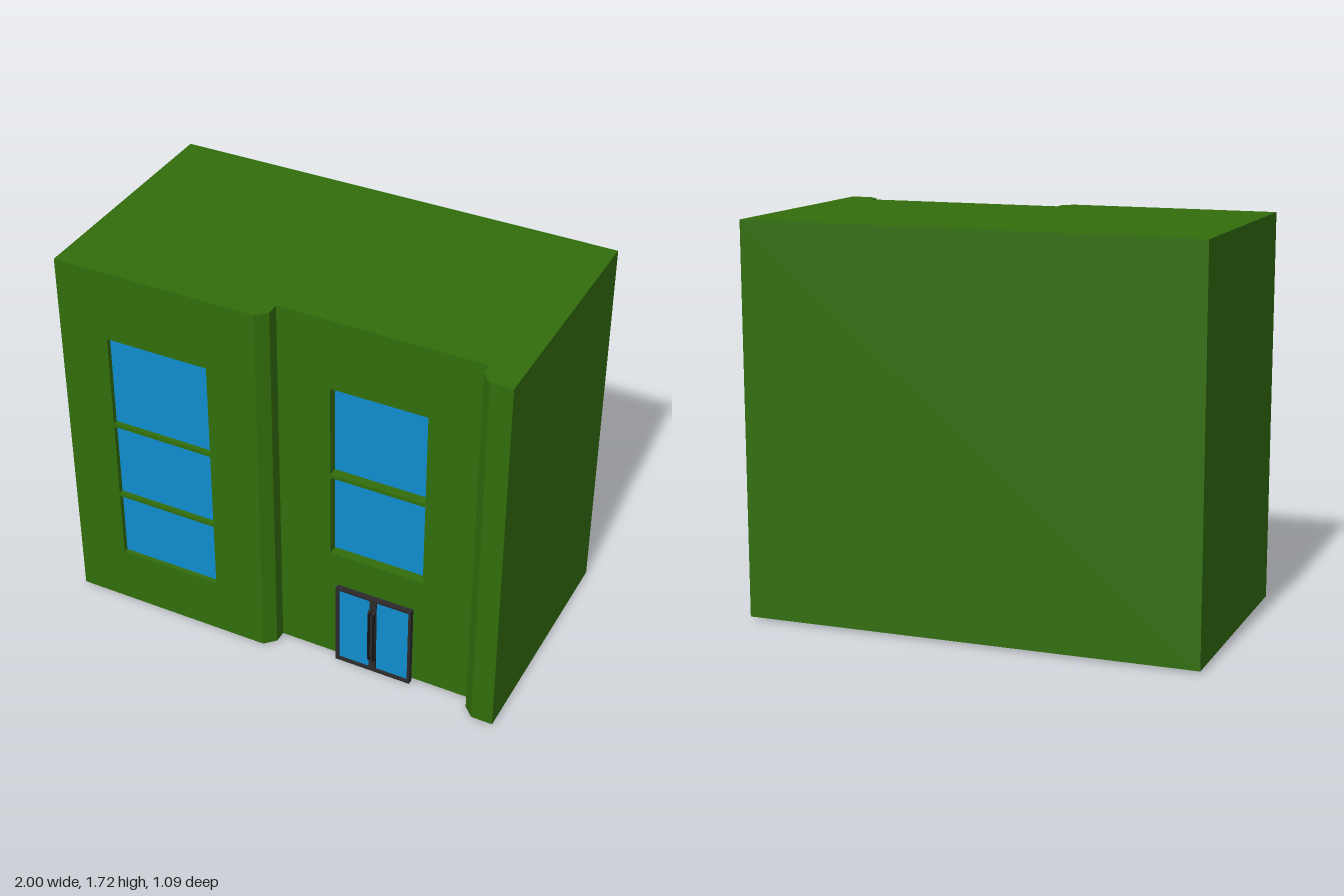
import * as THREE from 'three';

const mat = (color) => new THREE.MeshStandardMaterial({ color });
const BASE = 0.01, TOP = 1.72;

function polygon(points) {
  return new THREE.Shape(points.map(([x, y]) => new THREE.Vector2(x, y)));
}

function rectPath(x0, x1, y0, y1, Type = THREE.Path) {
  return new Type([[x0, y0], [x1, y0], [x1, y1], [x0, y1]].map(([x, y]) => new THREE.Vector2(x, y)));
}

// Flat panel in the front plane with rectangular openings [x0, x1, y0, y1]
function panelGeometry([x0, x1, y0, y1], holes, zBack, zFront) {
  const shape = rectPath(x0, x1, y0, y1, THREE.Shape);
  holes.forEach((h) => shape.holes.push(rectPath(...h)));
  return new THREE.ExtrudeGeometry(shape, { depth: zFront - zBack, bevelEnabled: false }).translate(0, 0, zBack);
}

export function createModel() {
  const model = new THREE.Group();
  const green = mat(0x326e0c), blue = mat(0x0f8ccf), dark = mat(0x2c2a2c), black = mat(0x141414);

  const add = (name, geometry, material, parent = model) => {
    const mesh = new THREE.Mesh(geometry, material);
    mesh.name = name;
    parent.add(mesh);
    return mesh;
  };
  const addPane = (name, [x0, x1, y0, y1], z, parent) =>
    add(name, new THREE.PlaneGeometry(x1 - x0, y1 - y0).translate((x0 + x1) / 2, (y0 + y1) / 2, z), blue, parent);

  // Main block: footprint with chamfered piers either side of the entrance bay
  const footprint = polygon([
    [-1, -0.515], [-0.085, -0.515], [-0.085, -0.54], [-0.04, -0.495], [-0.04, -0.395],
    [0.86, -0.395], [0.86, -0.495], [0.905, -0.54], [1, -0.54], [1, 0.545], [-1, 0.545],
  ]);
  const block = new THREE.ExtrudeGeometry(footprint, { depth: TOP - BASE, bevelEnabled: false });
  add('buildingBlock', block.rotateX(-Math.PI / 2).translate(0, BASE, 0), green);

  // Facade walls with window openings, and the recessed panes behind them
  const facades = [
    { name: 'plainBay', x: [-1, -0.085], z: [0.515, 0.54], win: [-0.775, -0.31],
      rows: [[0.27, 0.585], [0.6, 0.957], [0.973, 1.4]] },
    { name: 'entranceBay', x: [-0.04, 0.86], z: [0.395, 0.44], win: [0.195, 0.62],
      rows: [[0.56, 0.957], [0.973, 1.4]] },
  ];
  for (const { name, x, z, win, rows } of facades) {
    const bay = new THREE.Group();
    bay.name = name;
    model.add(bay);
    const holes = rows.map((r) => [...win, ...r]);
    add('facadeWall', panelGeometry([...x, BASE, TOP], holes, ...z), green, bay);
    holes.forEach((h) => addPane('windowPane', h, z[0] + 0.003, bay));
  }

  // Double entrance door: frame, two glass leaves and pull handles
  const door = new THREE.Group();
  door.name = 'entranceDoor';
  model.add(door);
  const leaves = [[0.247, 0.393, 0.015, 0.393], [0.423, 0.573, 0.015, 0.393]];
  add('doorFrame', panelGeometry([0.233, 0.585, 0, 0.405], leaves, 0.447, 0.47), dark, door);
  leaves.forEach(([x0, x1, y0, y1]) =>
    add('doorGlass', new THREE.BoxGeometry(x1 - x0, y1 - y0, 0.008)
      .translate((x0 + x1) / 2, (y0 + y1) / 2, 0.457), blue, door));
  for (const x of [0.397, 0.419]) {
    const path = new THREE.CatmullRomCurve3([
      [0.07, 0.466], [0.075, 0.48], [0.1, 0.482], [0.315, 0.482], [0.34, 0.48], [0.345, 0.466],
    ].map(([y, z]) => new THREE.Vector3(x, y, z)));
    add('doorHandle', new THREE.TubeGeometry(path, 24, 0.006, 8), black, door);
  }

  return model;
}
